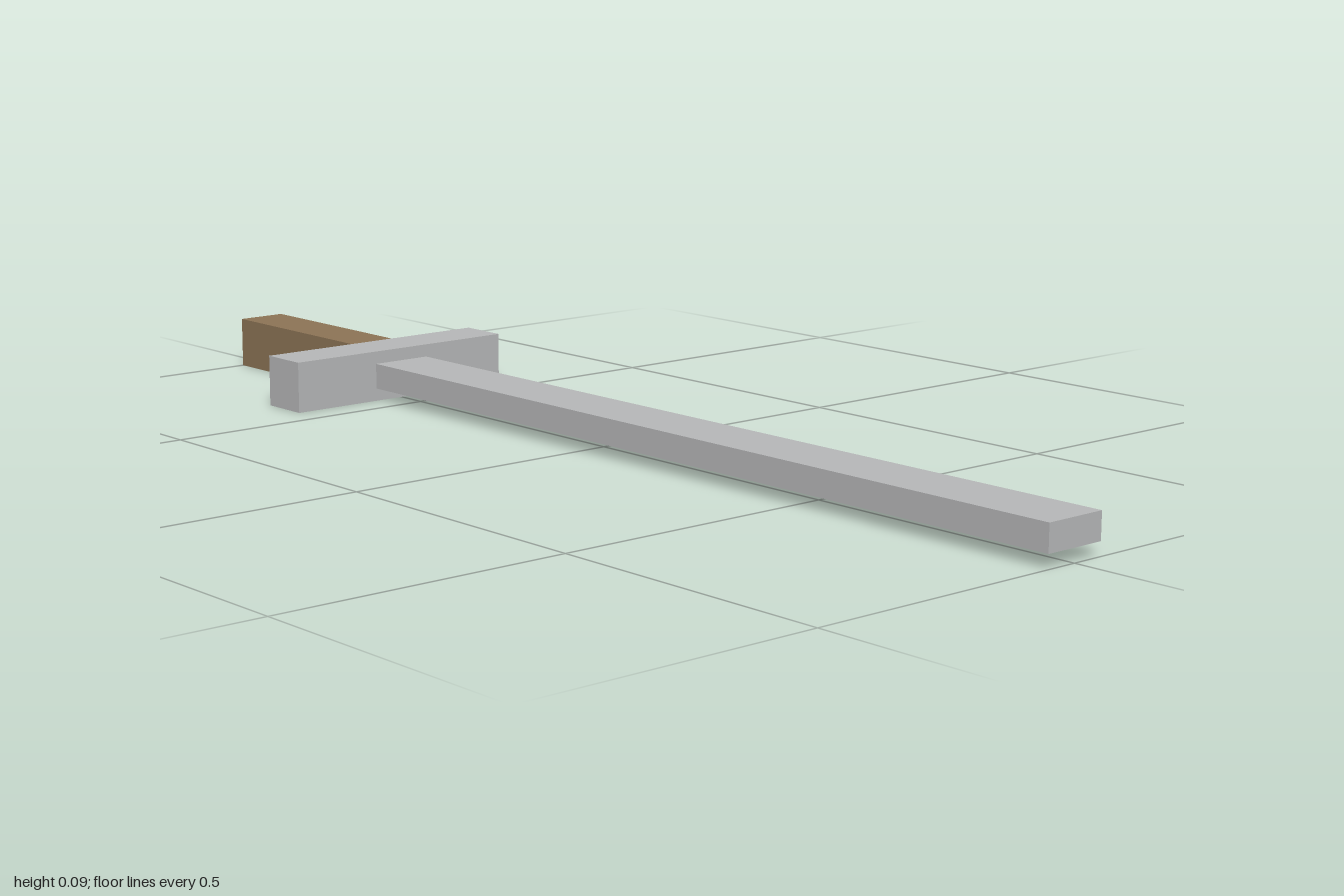
import * as THREE from 'three';

const steel = new THREE.MeshStandardMaterial({ name: 'steel grey', color: 0xb5b6b7 });
const wood = new THREE.MeshStandardMaterial({ name: 'wood brown', color: 0x8b7355 });

const midY = 0.0445; // common axis height of all parts

// Box spanning z0..z1 along the sword axis
function bar(name, material, width, height, z0, z1) {
  const mesh = new THREE.Mesh(new THREE.BoxGeometry(width, height, z1 - z0), material);
  mesh.name = name;
  mesh.position.set(0, midY, (z0 + z1) / 2);
  return mesh;
}

export function createModel() {
  const sword = new THREE.Group();
  sword.name = 'sword';
  sword.add(
    bar('blade', steel, 0.111, 0.0445, -0.556, 1),
    bar('crossguard', steel, 0.4445, 0.089, -0.645, -0.556),
    bar('grip', wood, 0.089, 0.089, -1, -0.645),
  );
  return sword;
}
